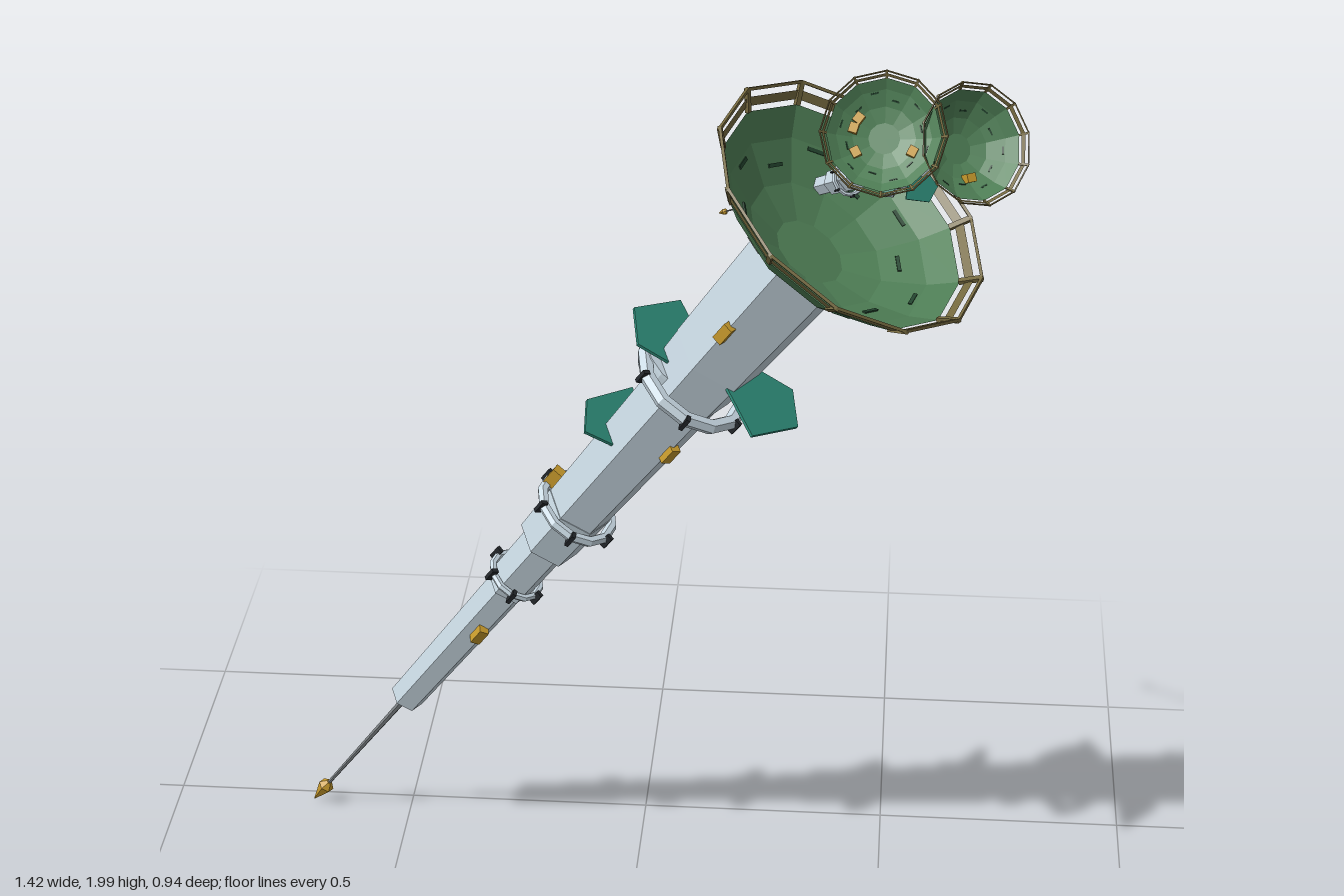
import * as THREE from 'three';

const paint = (name, color, side = THREE.FrontSide) => {
  const m = new THREE.MeshStandardMaterial({ color, side });
  m.name = name;
  return m;
};

export function createModel() {
  const hull = paint('hull grey', 0xc8d8e2);
  const green = paint('dish green', 0x4f7f56, THREE.DoubleSide);
  const darkGreen = paint('dark green', 0x24452f);
  const olive = paint('rim olive', 0x75693f, THREE.DoubleSide);
  const teal = paint('fin teal', 0x2c8674);
  const gold = paint('gold', 0xc6992c);
  const black = paint('clamp black', 0x23262a);
  const rodGrey = paint('rod grey', 0x7d8285);

  // Faceted copy of a geometry
  const flat = (geo) => {
    const g = geo.index ? geo.toNonIndexed() : geo;
    g.computeVertexNormals();
    return g;
  };
  const add = (parent, name, geo, mat, x = 0, y = 0, z = 0) => {
    const mesh = new THREE.Mesh(flat(geo), mat);
    mesh.name = name;
    mesh.position.set(x, y, z);
    parent.add(mesh);
    return mesh;
  };
  // Tapered six-sided prism along y between two heights, with a flat side toward +z
  const prism = (parent, name, mat, y0, y1, r0, r1) => {
    const geo = new THREE.CylinderGeometry(r1, r0, y1 - y0, 6).rotateY(Math.PI / 6);
    return add(parent, name, geo, mat, 0, (y0 + y1) / 2, 0);
  };
  // Put a part on the side of the mast; 90 degrees is the +z side
  const around = (parent, name, geo, mat, r, y, deg) => {
    const a = deg * Math.PI / 180;
    const m = add(parent, name, geo, mat, r * Math.cos(a), y, r * Math.sin(a));
    m.rotation.y = Math.PI / 2 - a;
    return m;
  };

  // Ring collar with small dark clamps
  function collar(parent, y, r) {
    const g = new THREE.Group();
    g.name = 'collar';
    g.position.y = y;
    add(g, 'collarRing', new THREE.TorusGeometry(r, r * 0.14, 6, 12).rotateX(Math.PI / 2), hull);
    for (let i = 0; i < 6; i++) {
      around(g, 'clamp', new THREE.BoxGeometry(0.008, 0.03, 0.014), black, r * 1.1, 0, i * 60 + 30);
    }
    parent.add(g);
  }

  // Flat five-sided fin standing out square to the mast
  function fin(parent, y, deg, inner, outer, half) {
    const s = new THREE.Shape();
    s.moveTo(-half * 0.55, inner);
    s.lineTo(half * 0.55, inner);
    s.lineTo(half, inner + (outer - inner) * 0.55);
    s.lineTo(half * 0.3, outer);
    s.lineTo(-half, inner + (outer - inner) * 0.75);
    s.closePath();
    const geo = new THREE.ExtrudeGeometry(s, { depth: 0.006, bevelEnabled: false }).rotateX(Math.PI / 2);
    around(parent, 'fin', geo, teal, 0, y, deg);
  }

  // Twelve-sided bowl with a separate, open rim; sensors are angles around the bowl
  function dish(parent, sensors) {
    const g = new THREE.Group();
    g.name = 'dish';
    const lathe = (pts) => new THREE.LatheGeometry(pts.map((p) => new THREE.Vector2(...p)), 12);
    add(g, 'bowl', lathe([[0, 1.95], [0.07, 1.95], [0.14, 1.972], [0.21, 2.015], [0.253, 2.057]]), green);
    add(g, 'rimBand', lathe([[0.26, 2.064], [0.27, 2.078]]), olive);
    add(g, 'rimHoop', new THREE.TorusGeometry(0.279, 0.004, 4, 12).rotateX(Math.PI / 2).rotateY(Math.PI / 2),
      olive, 0, 2.09, 0);
    for (let i = 0; i < 12; i++) {
      const bracket = new THREE.BoxGeometry(0.01, 0.008, 0.045).rotateX(-0.85);
      around(g, 'rimBracket', bracket, olive, 0.266, 2.074, i * 30);
      // Thin dark panels lying on the bowl
      const panel = new THREE.BoxGeometry(0.035, 0.004, 0.007).rotateX(-0.55);
      around(g, 'bowlPanel', panel, darkGreen, i % 2 ? 0.165 : 0.195, i % 2 ? 1.992 : 2.01, i * 30 + 15);
    }
    for (const deg of sensors) {
      around(g, 'goldSensor', new THREE.BoxGeometry(0.045, 0.04, 0.04), gold, 0.14, 1.99, deg);
    }
    parent.add(g);
  }

  // Complete mast: spike, stepped shaft, collars, fins and dish; spike point at y = 0
  function probe(name, sensors) {
    const g = new THREE.Group();
    g.name = name;
    prism(g, 'spikePoint', gold, 0, 0.055, 0.001, 0.017);
    prism(g, 'spikeBase', gold, 0.055, 0.07, 0.017, 0.006);
    prism(g, 'spikeRod', rodGrey, 0.068, 0.43, 0.004, 0.007);
    const shaft = [
      [0.42, 0.87, 0.036, 0.042], [0.85, 1.03, 0.048, 0.05], [1.01, 1.13, 0.064, 0.068],
      [1.12, 1.56, 0.066, 0.078], [1.54, 1.66, 0.084, 0.09], [1.64, 1.945, 0.09, 0.1],
    ];
    shaft.forEach((s) => prism(g, 'shaftSection', hull, ...s));
    collar(g, 0.88, 0.054);
    collar(g, 1.12, 0.078);
    collar(g, 1.55, 0.106);

    // Round tank below the upper collar
    const tank = new THREE.SphereGeometry(0.093, 16, 8, 0, Math.PI * 2, Math.PI / 2, Math.PI / 2);
    add(g, 'tank', tank, hull, -0.02, 1.56, 0.04);
    add(g, 'tankLid', new THREE.CylinderGeometry(0.093, 0.093, 0.008, 16), hull, -0.02, 1.562, 0.04);

    fin(g, 1.35, 90, 0.01, 0.122, 0.095);
    fin(g, 1.585, 90, 0.03, 0.17, 0.09);
    fin(g, 1.64, -90, 0.06, 0.2, 0.09);

    // Small gold boxes: height, angle, distance from the axis
    const boxes = [[0.577, 180, 0.042], [0.723, -45, 0.038], [1.145, 78, 0.072], [1.28, 142, 0.066],
      [1.416, -63, 0.07], [1.757, 0, 0.092], [1.88, 125, 0.09]];
    for (const [y, deg, r] of boxes) {
      around(g, 'goldBox', new THREE.BoxGeometry(0.02, 0.04, 0.026), gold, r, y, deg);
    }
    // Painted line and grab rail on the upper shaft
    add(g, 'shaftStripe', new THREE.BoxGeometry(0.008, 0.28, 0.008), darkGreen, -0.02, 1.77, 0.081);
    const rail = new THREE.CatmullRomCurve3([[0, 1.73, 0.07], [0, 1.75, 0.105], [0, 1.83, 0.11], [0, 1.86, 0.08]]
      .map((p) => new THREE.Vector3(...p)));
    around(g, 'grabRail', new THREE.TubeGeometry(rail, 10, 0.003, 5), rodGrey, 0, 0, 120);
    dish(g, sensors);
    return g;
  }

  // Aim a probe along the line from its spike point to its rim centre
  function place(g, from, to, width) {
    const a = new THREE.Vector3(...from);
    const d = new THREE.Vector3(...to).sub(a);
    const length = d.length() / 2.085;
    d.normalize();
    const u = new THREE.Vector3(-d.z, 0, d.x).normalize();
    const w = new THREE.Vector3().crossVectors(u, d);
    g.quaternion.setFromRotationMatrix(new THREE.Matrix4().makeBasis(u, d, w));
    g.position.copy(a);
    g.scale.set(width, length, width);
    return g;
  }

  const model = new THREE.Group();
  model.name = 'antennaStation';
  model.add(place(probe('mainMast', []), [-0.71, 0.005, -0.47], [0.41, 1.66, 0.14], 1));
  model.add(place(probe('leftMast', [-90]), [0.15, 1.44, -0.34], [0.62, 1.875, 0.375], 0.38));
  model.add(place(probe('rightMast', [35, -30, 15, 205]), [0.48, 1.54, -0.17], [0.465, 1.9, 0.405], 0.385));
  return model;
}
